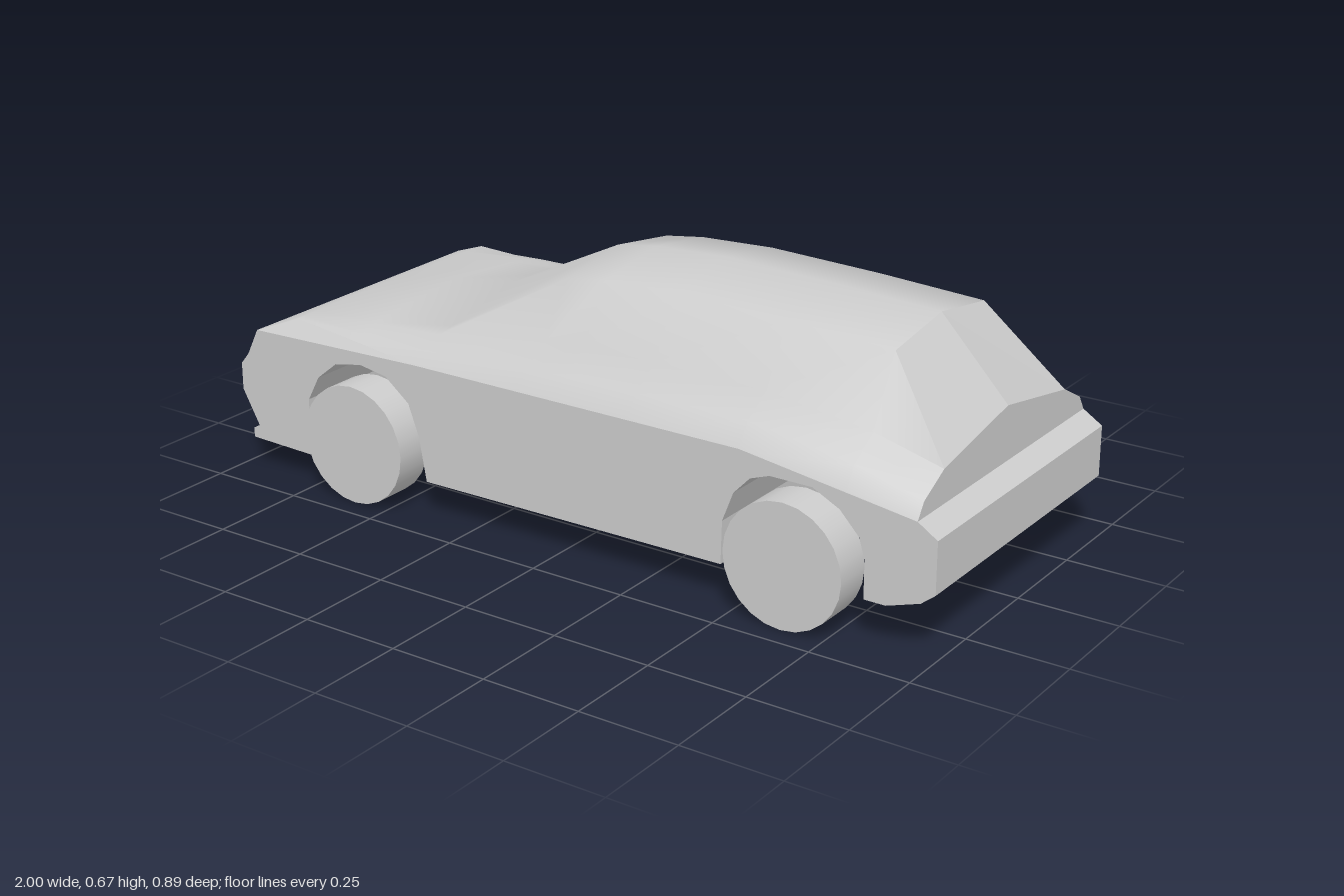
import * as THREE from 'three';

const material = new THREE.MeshStandardMaterial({ color: 0xcccccc });

function add(group, name, geometry) {
  const mesh = new THREE.Mesh(geometry, material);
  mesh.name = name;
  group.add(mesh);
  return mesh;
}

function surface(points, index) {
  const g = new THREE.BufferGeometry();
  g.setAttribute('position', new THREE.Float32BufferAttribute(points.flat(), 3));
  g.setIndex(index);
  return g;
}

// Flat-faced surface: every triangle keeps its own normal
function flatSurface(points, index) {
  const g = surface(points, index).toNonIndexed();
  g.computeVertexNormals();
  return g;
}

// Half cross-sections of the upper shell: x, then [z, y] from the belt line to the centre line
const SECTIONS = [
  [-0.94, [[0.4, 0.37], [0.365, 0.37], [0.3, 0.37], [0.22, 0.37], [0, 0.37]]],
  [-0.83, [[0.365, 0.412], [0.34, 0.413], [0.3, 0.414], [0.22, 0.415], [0, 0.417]]],
  [-0.62, [[0.383, 0.397], [0.362, 0.413], [0.31, 0.428], [0.24, 0.438], [0, 0.459]]],
  [-0.43, [[0.4, 0.383], [0.37, 0.412], [0.3, 0.432], [0.25, 0.44], [0, 0.486]]],
  [-0.11, [[0.4, 0.383], [0.368, 0.43], [0.295, 0.48], [0.207, 0.61], [0, 0.64]]],
  [0, [[0.4, 0.383], [0.365, 0.435], [0.292, 0.487], [0.205, 0.626], [0, 0.656]]],
  [0.2, [[0.4, 0.383], [0.365, 0.437], [0.29, 0.49], [0.205, 0.635], [0, 0.666]]],
  [0.5, [[0.4, 0.383], [0.365, 0.437], [0.29, 0.486], [0.205, 0.626], [0, 0.656]]],
  [0.775, [[0.4, 0.348], [0.37, 0.4], [0.29, 0.45], [0.205, 0.612], [0, 0.643]]],
  [0.95, [[0.4, 0.322], [0.375, 0.36], [0.29, 0.405], [0.29, 0.405], [0, 0.458]]],
];

// Full ring across the car, from +z to -z
function ring([x, half]) {
  const near = half.map(([z, y]) => [x, y, z]);
  const far = half.slice(0, -1).reverse().map(([z, y]) => [x, y, -z]);
  return [...near, ...far];
}

function upperShell(rings) {
  const n = rings[0].length, index = [];
  for (let i = 0; i < rings.length - 1; i++) {
    for (let j = 0; j < n - 1; j++) {
      // The rear window fills the middle of the last span
      if (i === rings.length - 2 && (j === 3 || j === 4)) continue;
      const a = i * n + j, b = a + n;
      index.push(a, b, b + 1, a, b + 1, a + 1);
    }
  }
  const g = surface(rings.flat(), index);
  g.computeVertexNormals();
  return g;
}

// Side outline of the lower body with both wheel arches
const OUTLINE = [
  [-1, 0.27], [-1, 0.2], [-0.95, 0.11], [-0.97, 0.1], [-0.97, 0.075], [-0.78, 0.07],
  [-0.775, 0.22], [-0.74, 0.285], [-0.68, 0.333], [-0.6, 0.348], [-0.52, 0.335],
  [-0.45, 0.28], [-0.42, 0.2], [-0.4, 0.087],
  [0.455, 0.093], [0.458, 0.2], [0.487, 0.275], [0.53, 0.32], [0.58, 0.338],
  [0.69, 0.338], [0.76, 0.303], [0.81, 0.25], [0.825, 0.2], [0.825, 0.107],
  [0.88, 0.107], [0.965, 0.135], [1, 0.163], [1, 0.29], [0.95, 0.322],
  [0.5, 0.383], [-0.43, 0.383], [-0.94, 0.37], [-0.975, 0.3],
];

export function createModel() {
  const car = new THREE.Group();
  car.name = 'car';

  // Lower body
  const shape = new THREE.Shape(OUTLINE.map(([x, y]) => new THREE.Vector2(x, y)));
  const lower = new THREE.ExtrudeGeometry(shape, { depth: 0.8, bevelEnabled: false });
  add(car, 'lowerBody', lower.translate(0, 0, -0.4));

  // Bonnet, cabin and roof
  const rings = SECTIONS.map(ring);
  add(car, 'upperBody', upperShell(rings));

  // Rear window, slanting down from the roof edge
  const roofEnd = rings.at(-2), tail = rings.at(-1);
  add(car, 'rearWindow', flatSurface(
    [...roofEnd.slice(3, 6), ...tail.slice(3, 6)],
    [0, 3, 4, 0, 4, 1, 1, 4, 5, 1, 5, 2]));

  // Upright panel below the rear window
  const fan = [];
  for (let k = 1; k < tail.length - 1; k++) fan.push(0, k + 1, k);
  add(car, 'tailPanel', flatSurface(tail, fan));

  // Facets beside the bonnet
  for (const s of [1, -1]) {
    const corners = [[-0.94, 0.37, 0.4 * s], [-0.43, 0.383, 0.4 * s], [-0.83, 0.412, 0.365 * s]];
    add(car, 'bonnetSideFacet', flatSurface(corners, s > 0 ? [0, 1, 2] : [0, 2, 1]));
  }

  // Wheels and axles
  const wheel = new THREE.CylinderGeometry(0.153, 0.153, 0.1, 24).rotateX(Math.PI / 2);
  const axle = new THREE.CylinderGeometry(0.032, 0.032, 0.7, 16).rotateX(Math.PI / 2);
  for (const [name, x] of [['front', -0.595], ['rear', 0.642]]) {
    add(car, name + 'Axle', axle).position.set(x, 0.153, 0);
    for (const s of [1, -1]) add(car, name + 'Wheel', wheel).position.set(x, 0.153, 0.395 * s);
  }
  return car;
}
